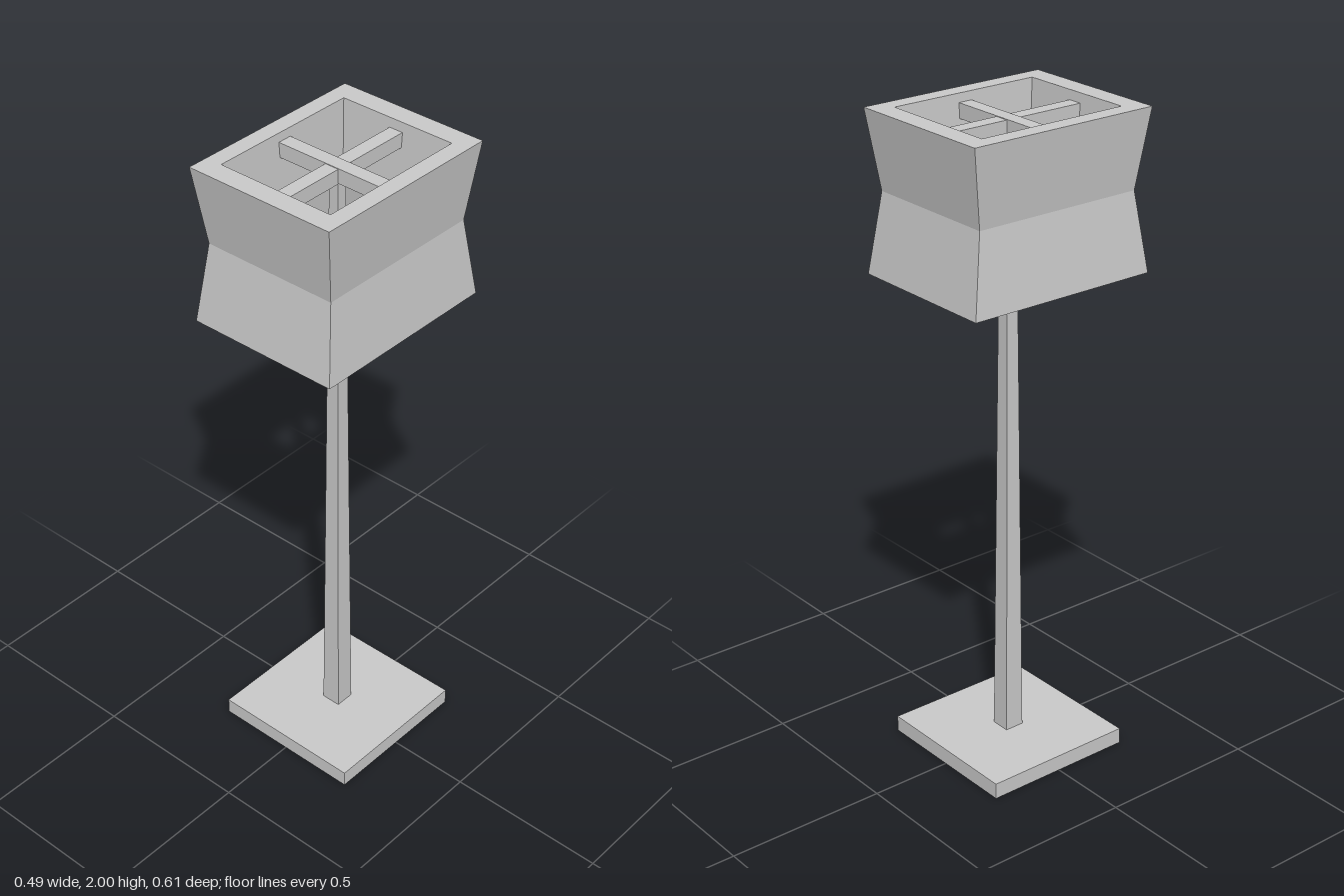
import * as THREE from 'three';

const material = new THREE.MeshStandardMaterial({ color: 0xcccccc, flatShading: true });

function add(group, name, geometry, y = 0) {
  const mesh = new THREE.Mesh(geometry, material);
  mesh.name = name;
  mesh.position.y = y;
  group.add(mesh);
}

// Closed rectangular frame swept through a loop of [halfX, y, halfZ] sections
function rectangularFrame(sections) {
  const corners = [[1, 1], [1, -1], [-1, -1], [-1, 1]];
  const point = (s, c) => {
    const [hx, y, hz] = sections[s % sections.length];
    const [sx, sz] = corners[c % 4];
    return [hx * sx, y, hz * sz];
  };
  const positions = [];
  for (let s = 0; s < sections.length; s++) {
    for (let c = 0; c < 4; c++) {
      const a = point(s, c), b = point(s, c + 1);
      const d = point(s + 1, c), e = point(s + 1, c + 1);
      positions.push(...a, ...b, ...e, ...a, ...e, ...d);
    }
  }
  const geometry = new THREE.BufferGeometry();
  geometry.setAttribute('position', new THREE.Float32BufferAttribute(positions, 3));
  geometry.computeVertexNormals();
  return geometry;
}

export function createModel() {
  const group = new THREE.Group();
  group.name = 'floorLamp';

  // Square foot plate
  add(group, 'base', new THREE.BoxGeometry(0.486, 0.05, 0.486), 0.025);

  // Square pole, tapering up to the cross bars
  const pole = new THREE.CylinderGeometry(0.0155 * Math.SQRT2, 0.031 * Math.SQRT2, 1.89, 4);
  pole.rotateY(Math.PI / 4);
  add(group, 'pole', pole, 0.05 + 1.89 / 2);

  // Thick-walled shade, pinched at the waist and open at both ends:
  // up the outside, then down the inside
  add(group, 'shade', rectangularFrame([
    [0.243, 1.52, 0.307],
    [0.217, 1.762, 0.272],
    [0.243, 2, 0.307],
    [0.19, 2, 0.242],
    [0.175, 1.762, 0.222],
    [0.19, 1.52, 0.242],
  ]));

  // Crossed bars holding the shade on the pole
  add(group, 'crossBarWide', new THREE.BoxGeometry(0.38, 0.045, 0.045), 1.951);
  add(group, 'crossBarDeep', new THREE.BoxGeometry(0.045, 0.045, 0.478), 1.949);

  return group;
}
